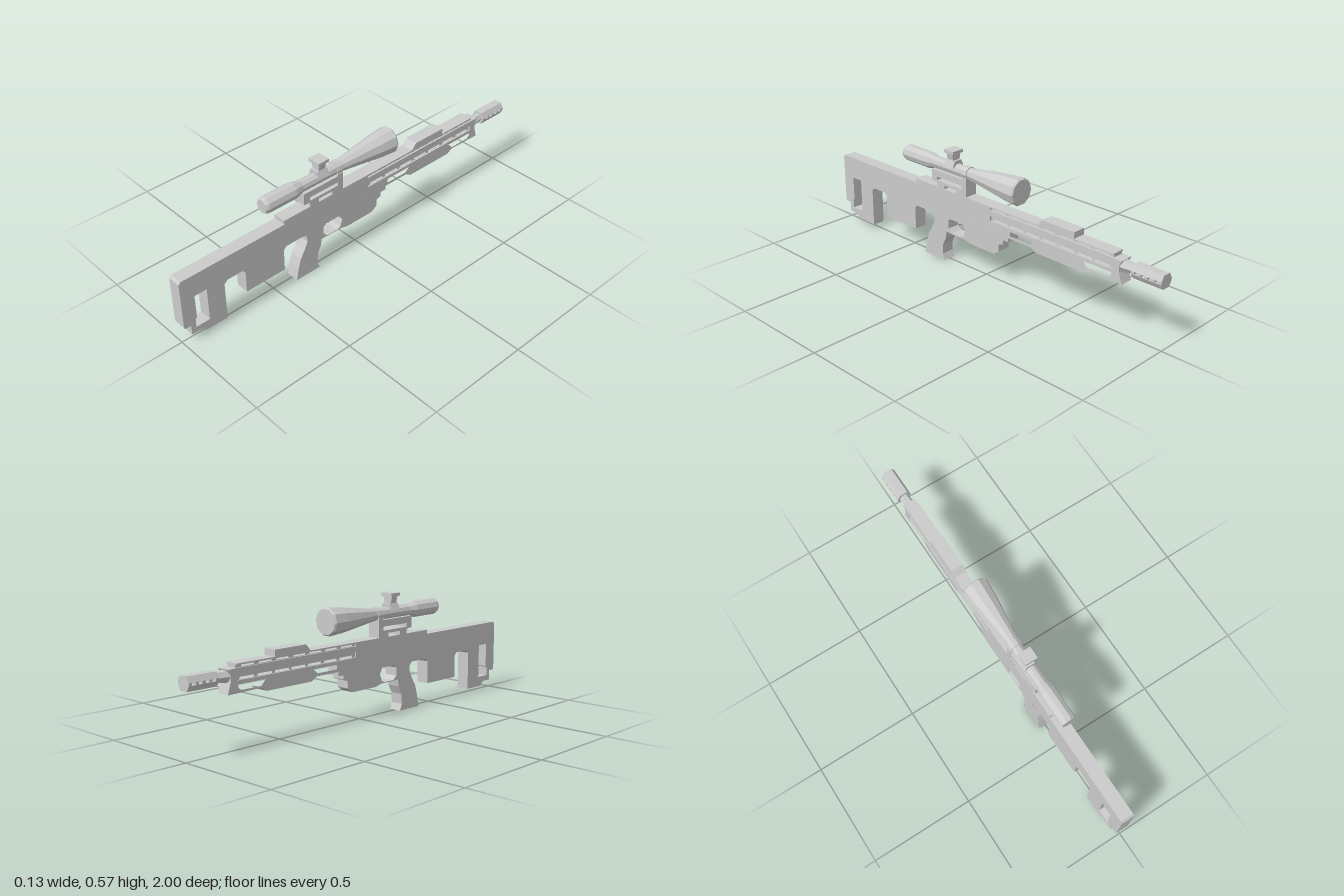
import * as THREE from 'three';

const W = 0.032; // half thickness of the slab-sided parts

export function createModel() {
  const model = new THREE.Group();
  const grey = new THREE.MeshStandardMaterial({ color: 0xcccccc, flatShading: true });

  const add = (name, geometry) => {
    const mesh = new THREE.Mesh(geometry, grey);
    mesh.name = name;
    model.add(mesh);
    return mesh;
  };

  // Side profile given as [z, y] points, extruded across x
  const points = (list) => list.map(([z, y]) => new THREE.Vector2(z, y));
  const plate = (name, profile, half = W, holes = []) => {
    const shape = new THREE.Shape(points(profile));
    holes.forEach((h) => shape.holes.push(new THREE.Path(points(h))));
    const g = new THREE.ExtrudeGeometry(shape, { depth: half * 2, bevelEnabled: false });
    g.translate(0, 0, -half);
    g.rotateY(-Math.PI / 2);
    return add(name, g);
  };
  const rect = (z0, z1, y0, y1) => [[z0, y0], [z1, y0], [z1, y1], [z0, y1]];

  // Turned part along z, profile given as [radius, z] from front to back
  const turned = (name, profile, sides, y) => {
    const g = new THREE.LatheGeometry(profile.map(([r, z]) => new THREE.Vector2(r, z)), sides, Math.PI / 2);
    g.rotateX(Math.PI / 2);
    g.translate(0, y, 0);
    return add(name, g);
  };

  // Stock, magazine, grip and receiver in one slab
  plate('body', [
    [0.99, 0.35], [1, 0.338], [1, 0.103], [0.992, 0.095], [0.965, 0.095], [0.965, 0.045],
    [0.912, 0.045], [0.89, 0.023], [0.78, 0.023], [0.78, 0.212], [0.762, 0.228],
    [0.682, 0.228], [0.668, 0.212], [0.668, 0.103], [0.4545, 0.103], [0.4545, 0.212],
    [0.44, 0.228], [0.335, 0.228], [0.32, 0.215], [0.318, 0.185], [0.335, 0.15],
    [0.36, 0.11], [0.375, 0.06], [0.388, 0], [0.25, 0], [0.264, 0.03], [0.26, 0.08],
    [0.24, 0.12], [0.235, 0.155], [0.195, 0.153], [0.115, 0.153], [0.078, 0.143],
    [-0.078, 0.143], [-0.11, 0.165], [-0.11, 0.2], [-0.136, 0.21], [-0.136, 0.23],
    [-0.168, 0.23], [-0.168, 0.29], [-0.055, 0.29], [-0.055, 0.37], [0.445, 0.37], [0.445, 0.35],
  ], W, [
    [[0.932, 0.24], [0.87, 0.24], [0.87, 0.072], [0.94, 0.072], [0.94, 0.115], [0.932, 0.12]],
    [[0.222, 0.215], [0.205, 0.228], [0.122, 0.228], [0.107, 0.2], [0.12, 0.165], [0.14, 0.157], [0.2, 0.157], [0.222, 0.175]],
  ]);

  // Trigger guard pins
  for (const z of [0.05, -0.02]) {
    const pin = add('pin', new THREE.CylinderGeometry(0.004, 0.004, W * 2 + 0.003, 6));
    pin.rotation.z = Math.PI / 2;
    pin.position.set(0, 0.25, z);
  }

  // Handguard: slotted core between full-width bars
  const slots = [];
  for (let i = 0; i < 7; i++) {
    const z = -0.075 - i * 0.097;
    slots.push(rect(z, z - 0.07, 0.354, 0.363));
    slots.push(rect(z, z - 0.08, 0.301, 0.311));
  }
  plate('handguardCore', rect(-0.055, -0.757, 0.286, 0.37), 0.024, slots);
  plate('topRail', rect(-0.055, -0.757, 0.363, 0.37));
  plate('upperBar', rect(-0.055, -0.757, 0.325, 0.352));
  plate('lowerBar', rect(-0.055, -0.757, 0.284, 0.3));
  plate('railBlock', [[-0.34, 0.37], [-0.367, 0.4], [-0.548, 0.4], [-0.548, 0.37]]);

  // Fore-end with two windows and the end block
  plate('foreEnd', [
    [-0.168, 0.29], [-0.168, 0.25], [-0.305, 0.25], [-0.335, 0.232], [-0.595, 0.232],
    [-0.625, 0.25], [-0.805, 0.246], [-0.788, 0.3], [-0.79, 0.33], [-0.8, 0.35], [-0.755, 0.352], [-0.755, 0.29],
  ], W, [
    [[-0.18, 0.284], [-0.18, 0.263], [-0.3, 0.263], [-0.325, 0.284]],
    [[-0.6, 0.284], [-0.625, 0.258], [-0.735, 0.258], [-0.755 + 0.005, 0.27], [-0.75, 0.284]],
  ]);

  // Barrel and hexagonal muzzle brake with side slots
  turned('barrel', [[0, -0.86], [0.024, -0.86], [0.024, -0.83], [0.03, -0.79], [0.03, -0.75], [0, -0.75]], 6, 0.32);
  const hexHalf = (sign) => {
    const outline = [[0.034, 0.006], [0.02, 0.031], [-0.02, 0.031], [-0.034, 0.006]]
      .map(([x, y]) => new THREE.Vector2(x, y * sign));
    const g = new THREE.ExtrudeGeometry(new THREE.Shape(outline), { depth: 0.15, bevelEnabled: false });
    g.translate(0, 0.32, -1);
    add('muzzleBrake', g);
  };
  hexHalf(1);
  hexHalf(-1);
  for (let i = 0; i < 5; i++) {
    const post = add('brakePost', new THREE.BoxGeometry(0.07, 0.013, 0.016));
    post.position.set(0, 0.32, -0.992 + i * 0.0335);
  }

  // Scope
  turned('scope', [
    [0, -0.218], [0.06, -0.218], [0.066, -0.21], [0.06, -0.13], [0.03, 0.09], [0.03, 0.1], [0.034, 0.1],
    [0.034, 0.13], [0.029, 0.13], [0.029, 0.325], [0.04, 0.37], [0.04, 0.52], [0.033, 0.535], [0, 0.535],
  ], 10, 0.477);

  // Scope mount
  plate('mountClamp', rect(0.33, 0.1, 0.42, 0.452));
  plate('mountRail', rect(0.3, 0.1, 0.388, 0.402));
  plate('mountRearPost', rect(0.33, 0.295, 0.395, 0.425));
  plate('mountFrontPost', rect(0.13, 0.1, 0.37, 0.46));
  plate('mountRearFoot', rect(0.295, 0.245, 0.365, 0.39));
  plate('mountFrontFoot', rect(0.165, 0.1, 0.365, 0.39));

  // Adjustment turret: tapered square blocks stacked on the tube
  const block = (name, topX, botX, y0, y1, depth) => {
    const g = new THREE.BoxGeometry(1, y1 - y0, depth);
    const p = g.attributes.position;
    for (let i = 0; i < p.count; i++) p.setX(i, Math.sign(p.getX(i)) * (p.getY(i) > 0 ? topX : botX));
    g.computeVertexNormals();
    g.translate(0, (y0 + y1) / 2, 0.213);
    add(name, g);
  };
  block('turretBase', 0.02, 0.034, 0.49, 0.522, 0.06);
  block('turretNeck', 0.027, 0.018, 0.515, 0.556, 0.038);
  block('turretCap', W, W, 0.555, 0.57, 0.06);

  return model;
}
